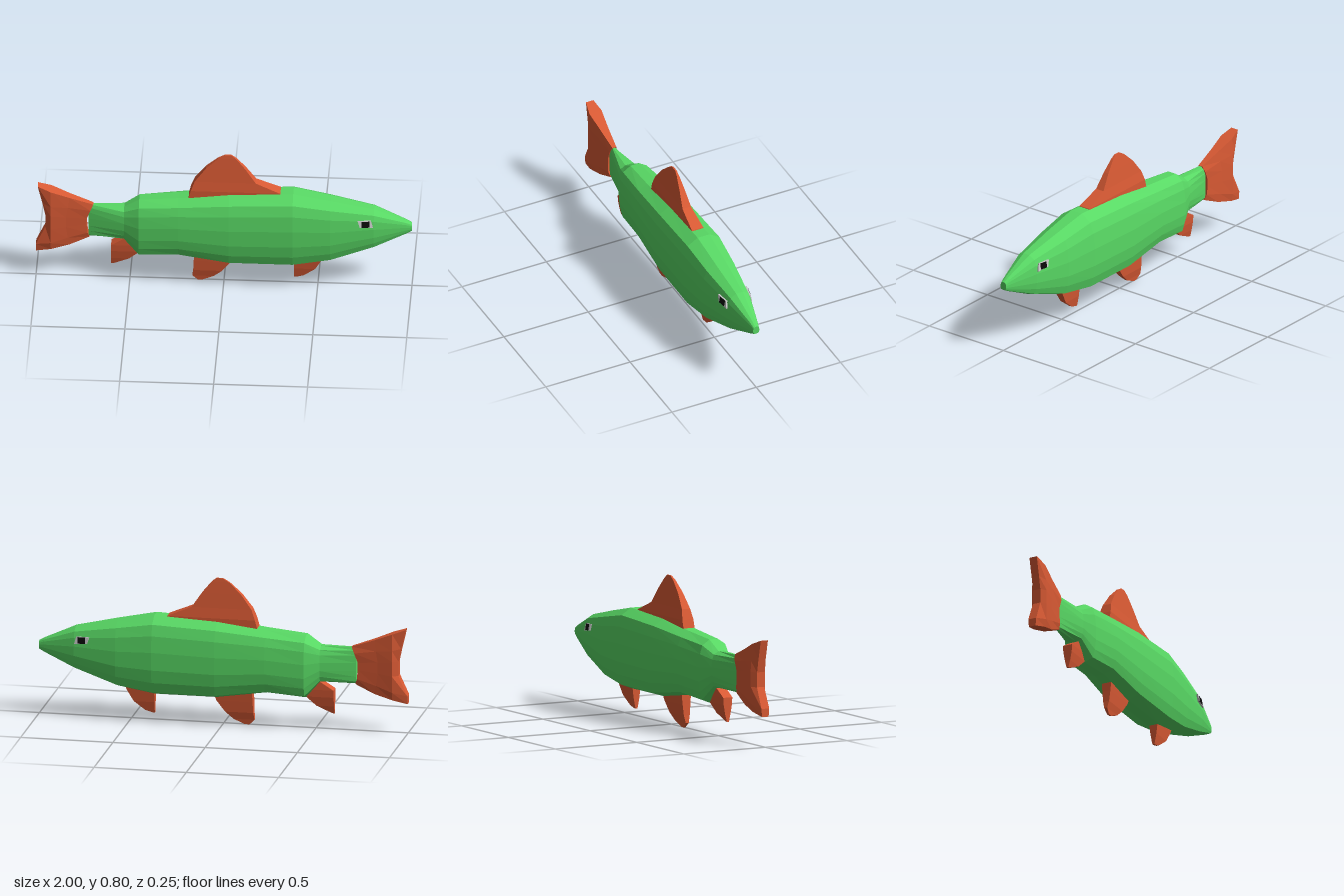
import * as THREE from 'three';

const material = (color) => new THREE.MeshStandardMaterial({ color, flatShading: true });

// Skins a series of rings (each mirrored about z = 0) and closes both ends with strips.
function loft(rings) {
  const n = rings[0].length, last = (rings.length - 1) * n, index = [];
  for (let i = 0; i < rings.length - 1; i++) {
    for (let j = 0; j < n; j++) {
      const a = i * n + j, b = i * n + (j + 1) % n;
      index.push(a, b, b + n, a, b + n, a + n);
    }
  }
  for (let j = 0; j < n / 2 - 1; j++) {
    const k = n - 1 - j;
    index.push(last + j, last + j + 1, last + k - 1, last + j, last + k - 1, last + k);
    index.push(j, k - 1, j + 1, j, k, k - 1);
  }
  const indexed = new THREE.BufferGeometry();
  indexed.setAttribute('position', new THREE.Float32BufferAttribute(rings.flat(2), 3));
  indexed.setIndex(index);
  const geometry = indexed.toNonIndexed();
  geometry.computeVertexNormals();
  return geometry;
}

// Adds the mirrored half to a ring that runs down the +z side.
const mirrorRing = (half) => [...half, ...half.map(([x, y, z]) => [x, y, -z]).reverse()];

// Fin from horizontal slices, bottom to top: [y, rear x, front x, half thickness]
const finGeometry = (slices) =>
  loft(slices.map(([y, rear, front, t]) => mirrorRing([[rear, y, t], [front, y, t]])));

export function createModel() {
  const group = new THREE.Group();
  const green = material(0x58d864);
  const orange = material(0xd95a34);
  const add = (name, geometry, mat, parent = group) => {
    const mesh = new THREE.Mesh(geometry, mat);
    mesh.name = name;
    parent.add(mesh);
    return mesh;
  };

  // Body: one faceted oval scaled along the length, [x, top, bottom, half width]
  const oval = [[1, 0.28], [0.83, 0.76], [0.56, 0.92], [0.15, 1],
    [-0.3, 1], [-0.63, 0.92], [-0.89, 0.78], [-1, 0.25]];
  const stations = [
    [-0.72, 0.462, 0.262, 0.016], [-0.53, 0.462, 0.265, 0.06], [-0.45, 0.515, 0.175, 0.092],
    [-0.24, 0.535, 0.192, 0.108], [0.03, 0.567, 0.152, 0.122], [0.37, 0.585, 0.152, 0.124],
    [0.57, 0.545, 0.185, 0.106], [0.8, 0.495, 0.265, 0.07], [0.97, 0.42, 0.342, 0.026],
    [1, 0.403, 0.358, 0.018],
  ];
  add('body', loft(stations.map(([x, top, bottom, w]) => mirrorRing(
    oval.map(([v, z]) => [x, (top + bottom) / 2 + v * (top - bottom) / 2, z * w])))), green);

  // Forked tail, swept forward from the notched rear edge, rows of [x, y, half thickness]
  const tailRows = [
    [[-0.99, 0.575, 0.022], [-0.965, 0.47, 0.022], [-0.95, 0.4, 0.022],
      [-0.95, 0.32, 0.022], [-1, 0.21, 0.024], [-1, 0.166, 0.02]],
    [[-0.92, 0.55, 0.036], [-0.92, 0.46, 0.042], [-0.92, 0.4, 0.044],
      [-0.92, 0.32, 0.044], [-0.92, 0.23, 0.042], [-0.92, 0.187, 0.034]],
    [[-0.82, 0.51, 0.024], [-0.83, 0.45, 0.03], [-0.84, 0.39, 0.032],
      [-0.84, 0.33, 0.032], [-0.83, 0.26, 0.03], [-0.82, 0.214, 0.024]],
    [[-0.695, 0.465, 0.012], [-0.71, 0.43, 0.021], [-0.73, 0.38, 0.021],
      [-0.73, 0.34, 0.021], [-0.725, 0.29, 0.021], [-0.715, 0.26, 0.012]],
  ];
  add('tailFin', loft(tailRows.map(mirrorRing)), orange);

  // Fins along the back and belly
  add('dorsalFin', finGeometry([
    [0.53, -0.19, 0.32, 0.034], [0.585, -0.175, 0.3, 0.034], [0.64, -0.155, 0.17, 0.025],
    [0.72, -0.095, 0.115, 0.015], [0.78, -0.03, 0.065, 0.007], [0.8, 0.005, 0.04, 0.004],
  ]), orange);
  add('pelvicFin', finGeometry([
    [0.003, -0.14, -0.115, 0.005], [0.03, -0.168, -0.055, 0.009], [0.07, -0.163, -0.01, 0.018],
    [0.13, -0.16, 0.035, 0.024], [0.19, -0.158, 0.06, 0.029],
  ]), orange);
  add('pectoralFin', finGeometry([
    [0.04, 0.373, 0.385, 0.006], [0.053, 0.373, 0.425, 0.009], [0.1, 0.373, 0.485, 0.018],
    [0.17, 0.373, 0.525, 0.026], [0.2, 0.373, 0.53, 0.028],
  ]), orange);
  add('analFin', finGeometry([
    [0.09, -0.602, -0.59, 0.006], [0.13, -0.6, -0.505, 0.016], [0.18, -0.6, -0.45, 0.025],
    [0.22, -0.6, -0.45, 0.028], [0.27, -0.52, -0.455, 0.028],
  ]), orange);

  // Eyes: a pale slanted plate with a dark pupil, following the slope of the head
  const white = material(0xcccccc);
  const black = material(0x0a0a0a);
  for (const side of [1, -1]) {
    const eye = new THREE.Group();
    eye.name = side > 0 ? 'rightEye' : 'leftEye';
    eye.position.set(0.755, 0.434, side * 0.073);
    eye.rotation.set(-side * 0.18, side * 0.18, 0);
    const plate = new THREE.Shape();
    plate.moveTo(-0.042, 0.02).lineTo(-0.03, -0.016).lineTo(0.042, -0.022).lineTo(0.03, 0.02);
    const plateGeometry = new THREE.ExtrudeGeometry(plate, { depth: 0.016, bevelEnabled: false });
    add('eyeWhite', plateGeometry.translate(0, 0, -0.008), white, eye);
    add('pupil', new THREE.BoxGeometry(0.042, 0.034, 0.02), black, eye);
    group.add(eye);
  }
  return group;
}
